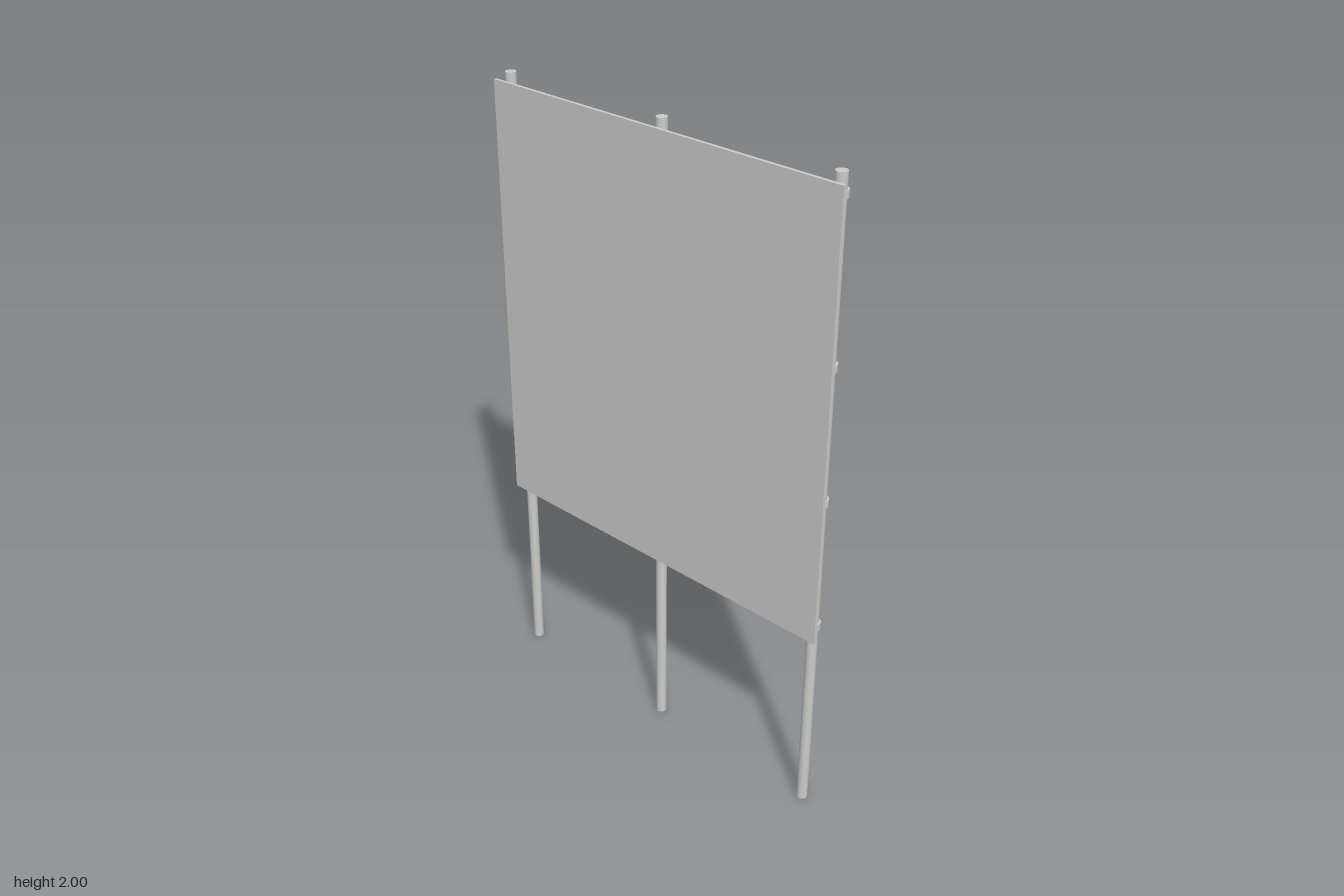
import * as THREE from 'three';

export function createModel() {
  const group = new THREE.Group();
  const grey = new THREE.MeshStandardMaterial({ color: 0xcccccc });
  const add = (name, geometry, x, y, z) => {
    const mesh = new THREE.Mesh(geometry, grey);
    mesh.name = name;
    mesh.position.set(x, y, z);
    group.add(mesh);
  };

  const poleZ = -0.0065, poleR = 0.0165, clampH = 0.022;

  // Flat sign board in front of the poles
  add('board', new THREE.BoxGeometry(1.244, 1.363, 0.0105), 0, 1.2965, 0.02325);

  // Clamp outline: a ring around the pole with a foot against the board
  const outline = new THREE.Shape();
  outline.moveTo(-0.0205, 0.0245);
  outline.lineTo(0.0205, 0.0245);
  outline.lineTo(0.0193, 0.0105);
  outline.absarc(0, 0, 0.022, 0.5, Math.PI - 0.5, true);
  outline.closePath();
  const hole = new THREE.Path();
  hole.absarc(0, 0, poleR, 0, Math.PI * 2, false);
  outline.holes.push(hole);
  const clamp = new THREE.ExtrudeGeometry(outline, { depth: clampH, bevelEnabled: false, curveSegments: 24 });
  clamp.translate(0, 0, -clampH / 2).rotateX(Math.PI / 2);

  // Three poles, each with four clamps
  const pole = new THREE.CylinderGeometry(poleR, poleR, 2, 32);
  for (const [side, x] of [['right', -0.588], ['middle', 0], ['left', 0.588]]) {
    add(`${side}Pole`, pole, x, 1, poleZ);
    for (const y of [0.65, 1.063, 1.473, 1.943]) add(`${side}Clamp`, clamp, x, y, poleZ);
  }
  return group;
}
